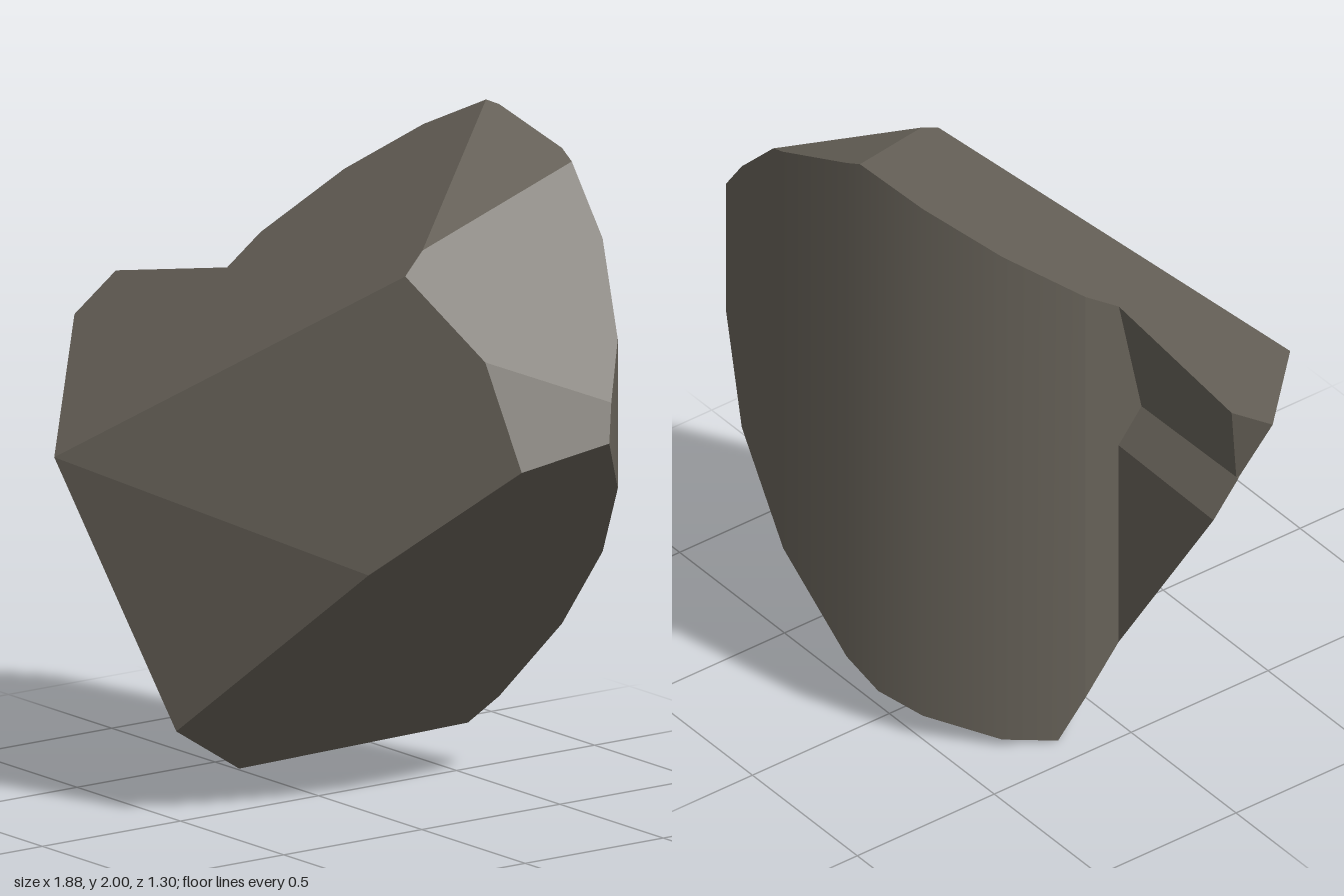
import * as THREE from 'three';
import { ConvexGeometry } from 'three/addons/geometries/ConvexGeometry.js';

const v = (x, y, z) => new THREE.Vector3(x, y, z);

// Plane through three points, facing away from an inside point
function cut(inside, a, b, c) {
  const p = new THREE.Plane().setFromCoplanarPoints(a, b, c);
  return p.distanceToPoint(inside) > 0 ? p.negate() : p;
}

// Convex block enclosed by cutting planes
function cutBlock(planes) {
  const pts = [];
  for (let i = 0; i < planes.length; i++)
    for (let j = i + 1; j < planes.length; j++)
      for (let k = j + 1; k < planes.length; k++) {
        const [p, q, r] = [planes[i], planes[j], planes[k]];
        const qr = q.normal.clone().cross(r.normal);
        const det = p.normal.dot(qr);
        if (Math.abs(det) < 1e-5) continue;
        const pt = qr.multiplyScalar(-p.constant)
          .addScaledVector(r.normal.clone().cross(p.normal), -q.constant)
          .addScaledVector(p.normal.clone().cross(q.normal), -r.constant)
          .divideScalar(det);
        if (planes.every((s) => s.distanceToPoint(pt) < 1e-5) &&
            !pts.some((o) => o.distanceTo(pt) < 0.004)) pts.push(pt);
      }
  return new ConvexGeometry(pts);
}

// Round the upright back wall with normals pointing out from its axis
function smoothBack(geo, cx, cz) {
  const pos = geo.attributes.position, nor = geo.attributes.normal;
  for (let i = 0; i < pos.count; i++) {
    if (Math.abs(nor.getY(i)) > 0.02 || nor.getX(i) < -0.99) continue;
    const n = v(pos.getX(i) - cx, 0, pos.getZ(i) - cz).normalize();
    nor.setXYZ(i, n.x, n.y, n.z);
  }
  return geo;
}

export function createModel() {
  const group = new THREE.Group();
  const stone = new THREE.MeshStandardMaterial({ color: 0x666158 });
  stone.name = 'stone';

  // Main corners of the broken faces
  const tip = v(-0.94, 1.28, 0.18), nose = v(-0.41, 1.03, 0.65), chin = v(-0.04, 0.26, 0.485);
  const brow = v(0.42, 1.64, 0), cheek = v(0.49, 0.79, 0.19), shoulder = v(0.84, 1.12, -0.1);
  const peak = v(0.02, 2, -0.59), heel = v(-0.03, 0.13, -0.57);
  const corner = v(0.905, 1.3, -0.39), ridge = v(0.66, 1.45, -0.08), crest = v(0.37, 1.88, -0.65);
  const topFace = [nose, brow, tip], sideFace = [tip, nose, chin];

  // Body: faceted front, rounded upright back
  const core = v(0.1, 1, -0.1);
  const faces = [
    topFace, sideFace,
    [nose, brow, cheek], [nose, cheek, chin],
    [chin, shoulder, heel],
    [v(-0.18, 0.07, 0.17), heel, v(-0.41, 0, -0.18)],
    [peak, crest, v(0.39, 1.7, -0.1)],
    [brow, crest, corner],
    [ridge, shoulder, corner],
  ];
  const back = [[-0.44, 0], [-0.44, -0.12], [-0.33, -0.34], [-0.16, -0.5], [0.06, -0.61],
    [0.31, -0.65], [0.56, -0.61], [0.78, -0.5], [0.95, -0.34], [1.06, -0.12]];
  for (let i = 0; i + 1 < back.length; i++) {
    const [a, b] = [back[i], back[i + 1]];
    faces.push([v(a[0], 0, a[1]), v(b[0], 0, b[1]), v(a[0], 1, a[1])]);
  }
  const bodyGeo = cutBlock(faces.map((f) => cut(core, ...f)));
  const body = new THREE.Mesh(smoothBack(bodyGeo, 0.31, 0.12), stone);
  body.name = 'rockBody';
  group.add(body);

  // Side spur, in two pieces that meet at a groove in its back
  const join = [v(-0.44, 0, 0), v(-0.44, 1, 0), v(-0.44, 0, 1)];
  const groove = [v(-0.88, 1.1, 0.09), v(-0.44, 1.1, 0.084)];
  const level = [...groove, v(-0.6, 1.1, 1)];
  const rear = v(-0.94, 1.39, 0.03);
  const spurs = {
    upperSpur: [v(-0.6, 1.25, 0.2), [topFace, sideFace, join, level,
      [rear, v(-0.44, 1.5, 0), groove[0]],
      [v(-0.81, 1.44, -0.01), rear, v(-0.9, 1.2, 0.03)],
      [tip, rear, v(-0.89, 1.12, 0.1)]]],
    lowerSpur: [v(-0.5, 0.8, 0.1), [sideFace, topFace, join, level,
      [...groove, v(-0.9, 1.02, 0.025)],
      [v(0, 0, 0), v(1, 0, 0), v(0, 1, 0)]]],
  };
  for (const [name, [inside, list]] of Object.entries(spurs)) {
    const mesh = new THREE.Mesh(cutBlock(list.map((f) => cut(inside, ...f))), stone);
    mesh.name = name;
    group.add(mesh);
  }
  return group;
}
